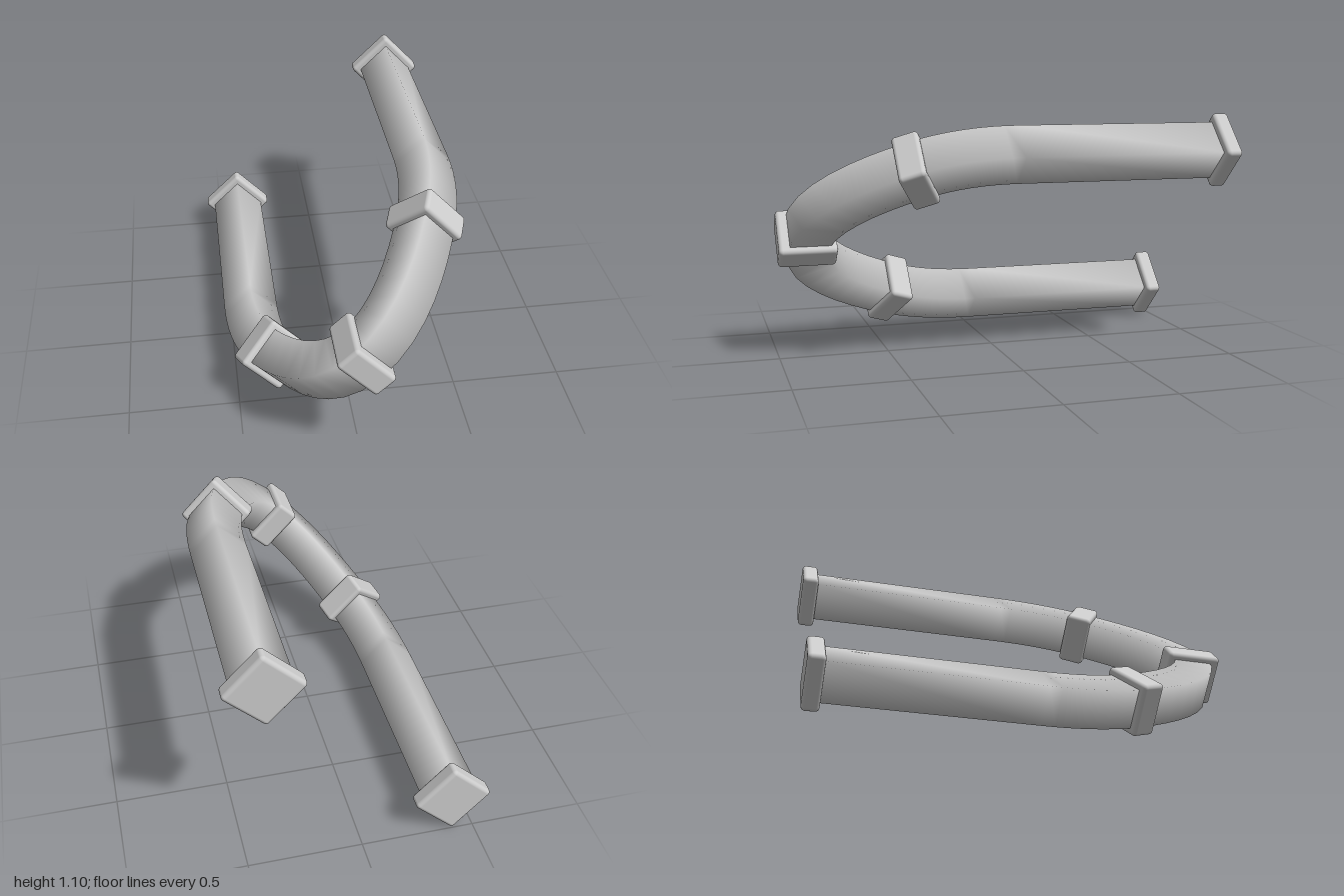
import * as THREE from 'three';
import { RoundedBoxGeometry } from 'three/addons/geometries/RoundedBoxGeometry.js';

const material = new THREE.MeshStandardMaterial({ color: 0xcccccc });
const HALF = 0.09; // half the side of the square bar
const SPAN = 0.559; // from the middle to the axis of each leg
const TILT = THREE.MathUtils.degToRad(26); // lean of the bar at the side collars
const SIDE = [0.466, 0.435]; // side collar position (x, z)

// Centre line of one half of the bend, in the xz plane
const v = (x, z) => new THREE.Vector3(x, 0, z);
const s = Math.sin(TILT), c = Math.cos(TILT);
const bend = [
  new THREE.CubicBezierCurve3(v(SPAN, 0), v(SPAN, 0.15),
    v(SIDE[0] + 0.15 * s, SIDE[1] - 0.15 * c), v(...SIDE)),
  new THREE.CubicBezierCurve3(v(...SIDE),
    v(SIDE[0] - 0.21 * s, SIDE[1] + 0.21 * c), v(0.21, 0.87), v(0, 0.87)),
];

// Points with tangents from one leg end to the tip, then mirrored to the other
function centreLine() {
  const half = [{ p: v(SPAN, -0.95), t: v(0, 1) }];
  bend.forEach((curve, n) => {
    for (let i = n ? 1 : 0; i <= 8; i++) {
      half.push({ p: curve.getPoint(i / 8), t: curve.getTangent(i / 8) });
    }
  });
  const mirrored = half.slice(0, -1).reverse()
    .map(({ p, t }) => ({ p: v(-p.x, p.z), t: v(t.x, -t.z) }));
  return half.concat(mirrored);
}

// Square section swept along the centre line, with smooth shared normals
function barGeometry() {
  const line = centreLine();
  const corners = [[1, 1], [-1, 1], [-1, -1], [1, -1]];
  const positions = [], index = [];
  line.forEach(({ p, t }, i) => {
    for (const [n, b] of corners) {
      positions.push(p.x + t.z * n * HALF, b * HALF, p.z - t.x * n * HALF);
    }
    if (i === line.length - 1) return;
    for (let k = 0; k < 4; k++) {
      const a = i * 4 + k, d = i * 4 + (k + 1) % 4;
      index.push(a, d, d + 4, a, d + 4, a + 4);
    }
  });
  const geometry = new THREE.BufferGeometry();
  geometry.setAttribute('position', new THREE.Float32BufferAttribute(positions, 3));
  geometry.setIndex(index);
  geometry.computeVertexNormals();
  return geometry;
}

export function createModel() {
  const model = new THREE.Group();
  model.name = 'horseshoeBar';

  const add = (name, geometry, x = 0, z = 0, turn = 0) => {
    const mesh = new THREE.Mesh(geometry, material);
    mesh.name = name;
    mesh.position.set(x, 0, z);
    mesh.rotation.y = turn;
    model.add(mesh);
  };
  const block = (w, h, d) => new RoundedBoxGeometry(w, h, d, 3, 0.018);

  add('bentBar', barGeometry());
  add('tipCollar', block(0.26, 0.24, 0.12), 0, 0.87, -Math.PI / 2);

  // Side collars and end caps on both legs
  for (const [name, sign] of [['left', 1], ['right', -1]]) {
    add(name + 'Collar', block(0.24, 0.24, 0.12), sign * SIDE[0], SIDE[1], -sign * TILT);
    add(name + 'EndCap', block(0.244, 0.244, 0.075), sign * SPAN, -0.9625);
  }

  // The whole shape leans diagonally, resting on the lower cap's corner
  model.rotation.z = THREE.MathUtils.degToRad(43.6);
  model.position.y = 0.56;
  const root = new THREE.Group();
  root.name = 'horseshoe';
  root.add(model);
  return root;
}
